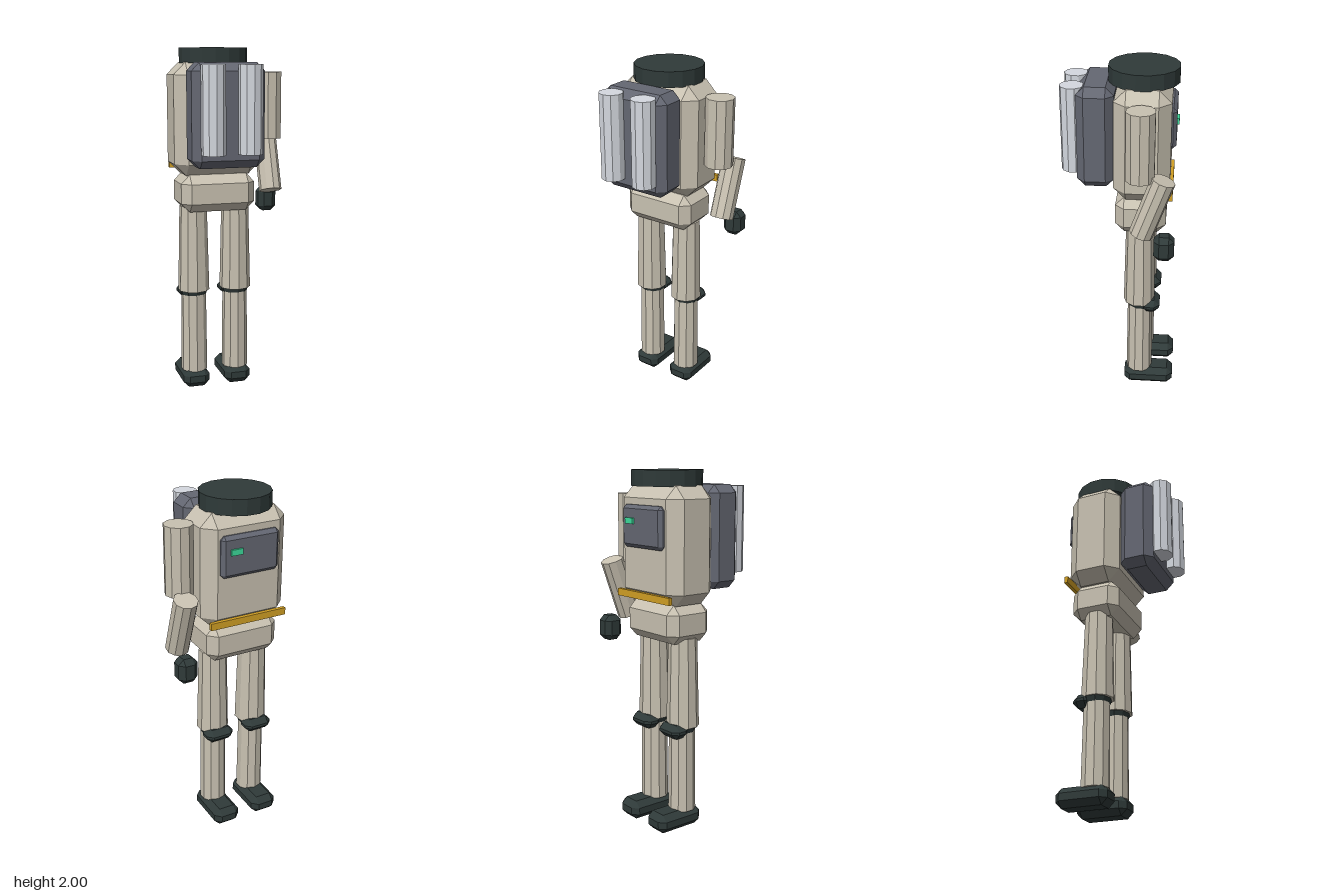
import * as THREE from 'three';
import { ConvexGeometry } from 'three/addons/geometries/ConvexGeometry.js';

const material = (name, color) => {
  const m = new THREE.MeshStandardMaterial({ color, flatShading: true });
  m.name = name;
  return m;
};

export function createModel() {
  const fabric = material('suit fabric', 0xc8c1b1);
  const rubber = material('dark rubber', 0x2f3a39);
  const shell = material('pack shell', 0x646772);
  const metal = material('tank metal', 0xd4d8df);
  const gold = material('gold strap', 0xd2a024);
  const green = material('green light', 0x3ddc9c);

  const suit = new THREE.Group();
  suit.name = 'spaceSuit';

  const add = (name, geometry, mat, x, y, z, parent = suit) => {
    const mesh = new THREE.Mesh(geometry, mat);
    mesh.name = name;
    mesh.position.set(x, y, z);
    parent.add(mesh);
    return mesh;
  };

  // Box with all edges cut at 45 degrees by c
  const chamferBox = (w, h, d, c) => {
    const points = [];
    for (const sx of [-1, 1]) for (const sy of [-1, 1]) for (const sz of [-1, 1]) {
      const x = w / 2, y = h / 2, z = d / 2;
      points.push(new THREE.Vector3(sx * x, sy * (y - c), sz * (z - c)));
      points.push(new THREE.Vector3(sx * (x - c), sy * y, sz * (z - c)));
      points.push(new THREE.Vector3(sx * (x - c), sy * (y - c), sz * z));
    }
    return new ConvexGeometry(points);
  };
  const tube = (rTop, rBottom, h, sides = 10) => new THREE.CylinderGeometry(rTop, rBottom, h, sides);

  const cx = -0.087; // body axis

  // Torso, pelvis and collar
  add('torso', chamferBox(0.505, 0.635, 0.31, 0.068), fabric, cx, 1.602, -0.122);
  add('pelvis', chamferBox(0.435, 0.215, 0.285, 0.05), fabric, cx, 1.182, -0.118);
  add('neckRing', tube(0.195, 0.195, 0.086, 16).rotateY(Math.PI / 16), rubber, cx, 1.957, -0.1215);

  // Life support pack with two tanks
  add('backpack', chamferBox(0.413, 0.57, 0.205, 0.045), shell, cx, 1.635, 0.132);
  for (const s of [-1, 1])
    add('tank', tube(0.067, 0.067, 0.48), metal, cx + s * 0.1035, 1.67, 0.259);

  // Chest panel, indicator and waist strap
  add('chestPanel', chamferBox(0.345, 0.23, 0.05, 0.02), shell, cx, 1.7, -0.28);
  add('indicatorLight', new THREE.BoxGeometry(0.067, 0.032, 0.02), green, 0.004, 1.73, -0.307);
  add('waistStrap', new THREE.BoxGeometry(0.46, 0.04, 0.022), gold, cx, 1.325, -0.283);

  // Legs
  for (const s of [-1, 1]) {
    const leg = new THREE.Group();
    leg.name = s > 0 ? 'leftLeg' : 'rightLeg';
    leg.position.x = cx + s * 0.127;
    suit.add(leg);
    add('thigh', tube(0.08, 0.092, 0.505), fabric, 0, 0.847, -0.115, leg);
    add('kneeRing', tube(0.086, 0.07, 0.045), rubber, 0, 0.5775, -0.122, leg);
    add('kneePad', chamferBox(0.17, 0.08, 0.11, 0.032), rubber, 0, 0.577, -0.182, leg);
    add('shin', tube(0.073, 0.078, 0.5), fabric, 0, 0.35, -0.12, leg);
    add('boot', chamferBox(0.16, 0.108, 0.297, 0.034), rubber, 0, 0.056, -0.178, leg);
  }

  // Single arm, bent forward
  const arm = new THREE.Group();
  arm.name = 'leftArm';
  suit.add(arm);
  add('upperArm', tube(0.08, 0.08, 0.385).rotateY(Math.PI / 10), fabric, 0.245, 1.672, -0.122, arm);
  const forearm = add('forearm', tube(0.067, 0.067, 0.345), fabric, 0.268, 1.328, -0.188, arm);
  forearm.rotation.x = -0.34;
  add('glove', chamferBox(0.112, 0.145, 0.112, 0.03), rubber, 0.28, 1.097, -0.258, arm);

  return suit;
}
